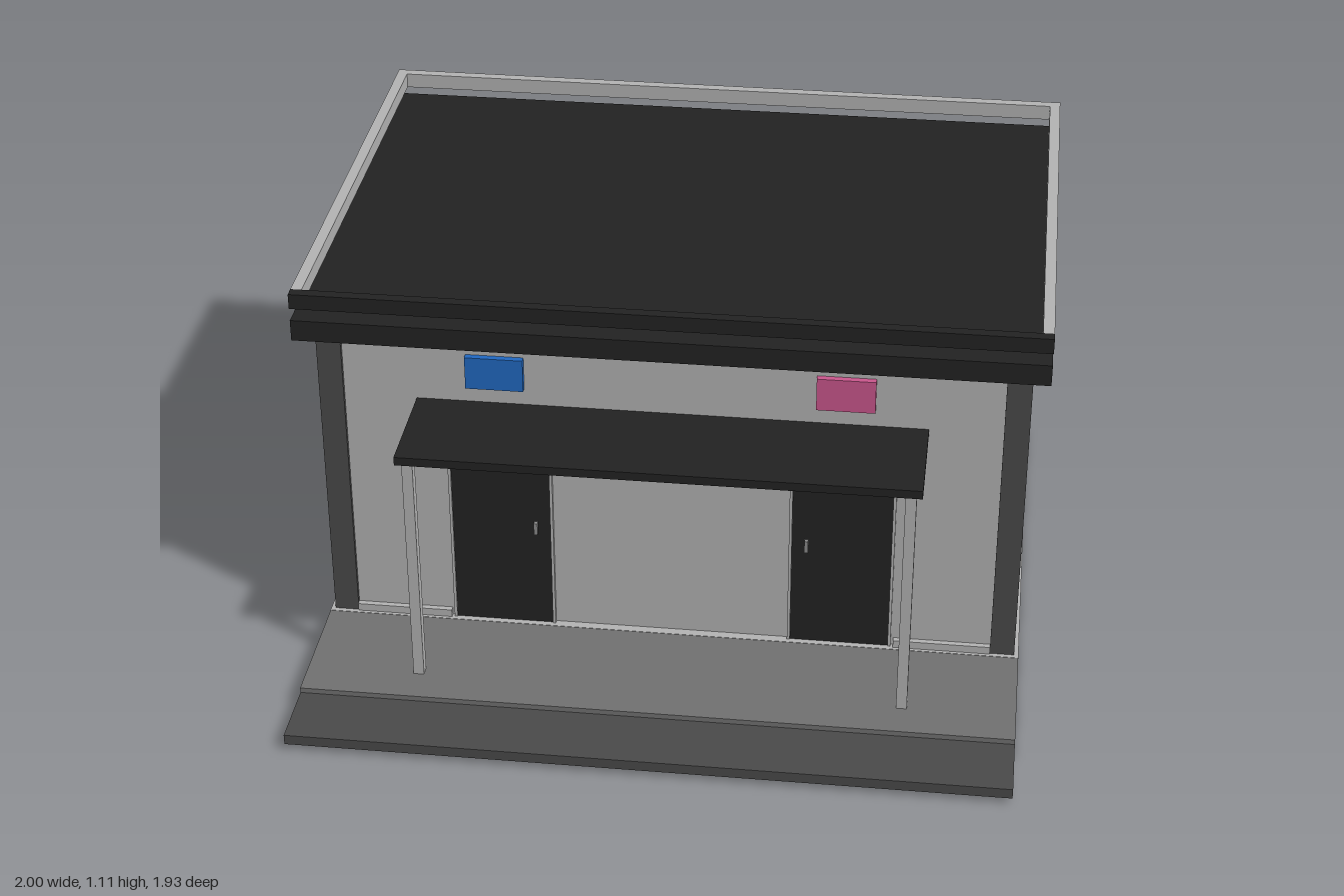
import * as THREE from 'three';

const mat = (name, color) => new THREE.MeshStandardMaterial({ name, color });

export function createModel() {
  const group = new THREE.Group();
  const light = mat('light grey', 0xb2b2b2);
  const porchGrey = mat('porch grey', 0x707070);
  const darkGrey = mat('dark grey', 0x4a4a4a);
  const black = mat('charcoal', 0x222222);
  const metal = mat('metal grey', 0x8c8c8c);
  const blue = mat('sign blue', 0x2168c0);
  const pink = mat('sign pink', 0xc9568c);

  // Box given by its extents on each axis
  function box(name, material, [x0, x1], [y0, y1], [z0, z1]) {
    const mesh = new THREE.Mesh(new THREE.BoxGeometry(x1 - x0, y1 - y0, z1 - z0), material);
    mesh.position.set((x0 + x1) / 2, (y0 + y1) / 2, (z0 + z1) / 2);
    mesh.name = name;
    group.add(mesh);
  }
  // Same box on both sides of the building
  function pair(name, material, [x0, x1], y, z) {
    box(name + 'Left', material, [x0, x1], y, z);
    box(name + 'Right', material, [-x1, -x0], y, z);
  }

  // Ground slab, porch and step
  box('foundation', light, [-0.967, 0.967], [0, 0.063], [-0.905, 0.405]);
  box('porch', porchGrey, [-0.967, 0.967], [0, 0.062], [0.405, 0.775]);
  box('step', darkGrey, [-0.967, 0.967], [0.018, 0.047], [0.775, 0.967]);

  // Body with front corner columns and skirting
  box('walls', light, [-0.948, 0.948], [0.063, 0.975], [-0.873, 0.38]);
  pair('cornerColumn', darkGrey, [0.888, 0.955], [0.063, 0.975], [0.328, 0.392]);
  pair('skirting', light, [0.62, 0.888], [0.063, 0.085], [0.38, 0.396]);

  // Roof slab and the floating rail above it
  box('roofSlab', black, [-1, 1], [0.972, 1.032], [-0.967, 0.467]);
  box('frontRail', black, [-1, 1], [1.067, 1.11], [0.437, 0.467]);
  box('backRail', light, [-1, 1], [1.067, 1.11], [-0.967, -0.937]);
  pair('sideRail', light, [0.97, 1], [1.067, 1.11], [-0.937, 0.437]);

  // Doors with jambs and handles
  pair('door', black, [0.333, 0.605], [0.063, 0.703], [0.375, 0.388]);
  pair('innerJamb', light, [0.325, 0.333], [0.063, 0.703], [0.38, 0.392]);
  pair('outerJamb', light, [0.605, 0.613], [0.063, 0.703], [0.38, 0.392]);
  pair('doorHandle', metal, [0.368, 0.378], [0.36, 0.397], [0.388, 0.4]);

  // Entrance canopy on two posts
  box('canopy', black, [-0.69, 0.69], [0.742, 0.766], [0.38, 0.687]);
  pair('canopyPost', light, [0.645, 0.674], [0.062, 0.742], [0.643, 0.673]);

  // Signs
  box('blueSign', blue, [-0.552, -0.395], [0.815, 0.91], [0.38, 0.398]);
  box('pinkSign', pink, [0.39, 0.547], [0.815, 0.91], [0.38, 0.398]);

  return group;
}
